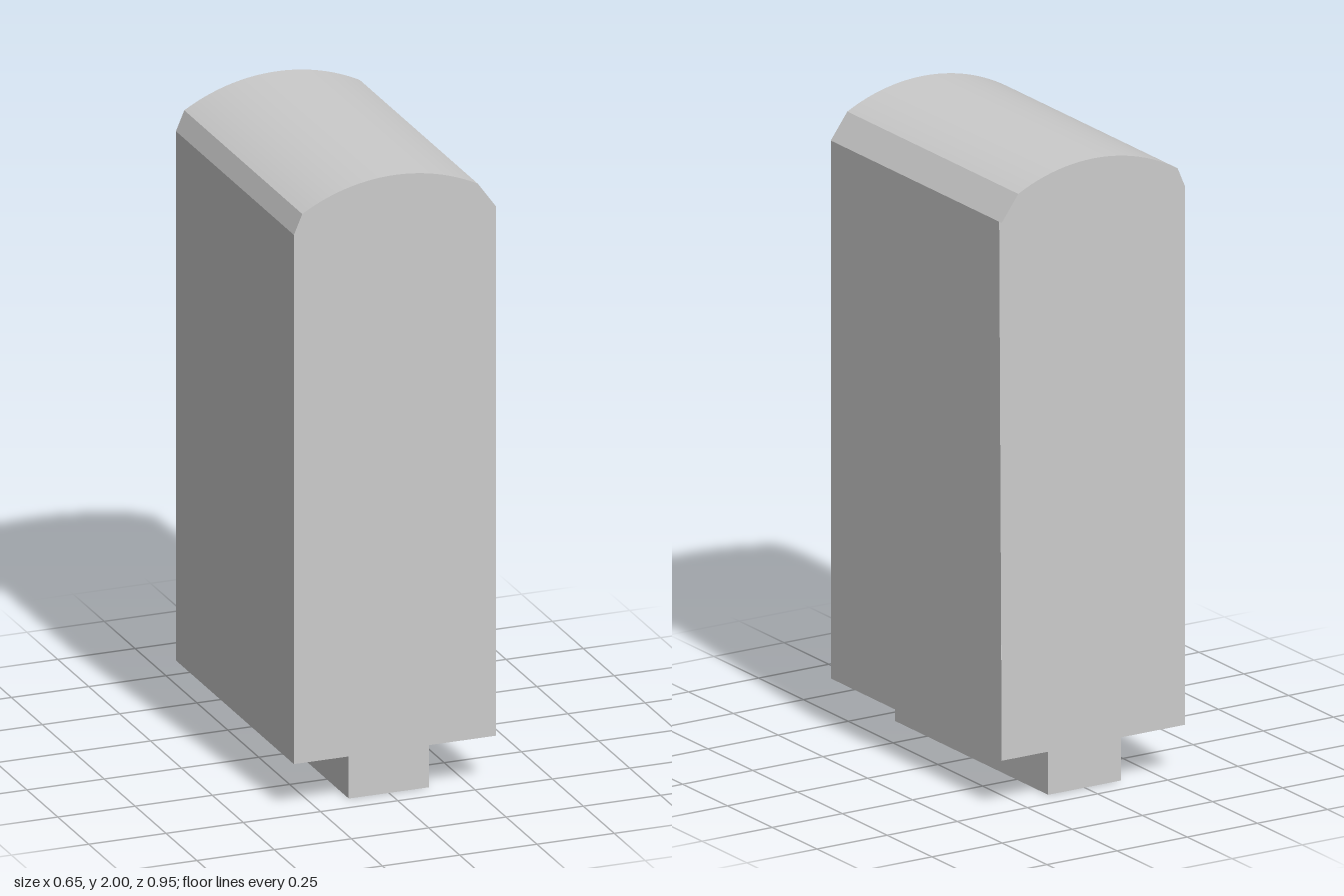
import * as THREE from 'three';
import { toCreasedNormals } from 'three/addons/utils/BufferGeometryUtils.js';

export function createModel() {
  const model = new THREE.Group();
  const material = new THREE.MeshStandardMaterial({ color: 0xcccccc, side: THREE.DoubleSide });
  const add = (name, geometry) => {
    const mesh = new THREE.Mesh(geometry, material);
    mesh.name = name;
    model.add(mesh);
    return mesh;
  };

  // Body: end profile with uneven chamfers and a shallow domed top, run front to back
  const halfDepth = 0.477, bottom = 0.155, shoulder = 1.853;
  const radius = 0.58, right = 0.268, left = -0.3;
  const profile = new THREE.Shape();
  profile.moveTo(-0.327, bottom);
  profile.lineTo(0.327, bottom);
  profile.lineTo(0.327, shoulder);
  const steps = 24;
  const a0 = Math.asin(right / radius), a1 = Math.asin(left / radius);
  for (let i = 0; i <= steps; i++) {
    const a = a0 + (a1 - a0) * i / steps;
    profile.lineTo(radius * Math.sin(a), 2 - radius + radius * Math.cos(a));
  }
  profile.lineTo(-0.327, shoulder);
  profile.closePath();
  const body = new THREE.ExtrudeGeometry(profile, { depth: halfDepth * 2, bevelEnabled: false });
  body.translate(0, 0, -halfDepth);

  // Narrow tapering seam at the rear edge of the +x side wall
  const p = body.attributes.position, n = body.attributes.normal;
  for (let i = 0; i < p.count; i++) {
    if (n.getX(i) > 0.95 && p.getY(i) > shoulder - 0.01 && p.getZ(i) < 0) p.setZ(i, -halfDepth + 0.014);
  }
  add('body', toCreasedNormals(body, 0.2));

  // Plinth under the body
  add('base', new THREE.BoxGeometry(0.26, bottom, 0.856)).position.y = bottom / 2;

  return model;
}
